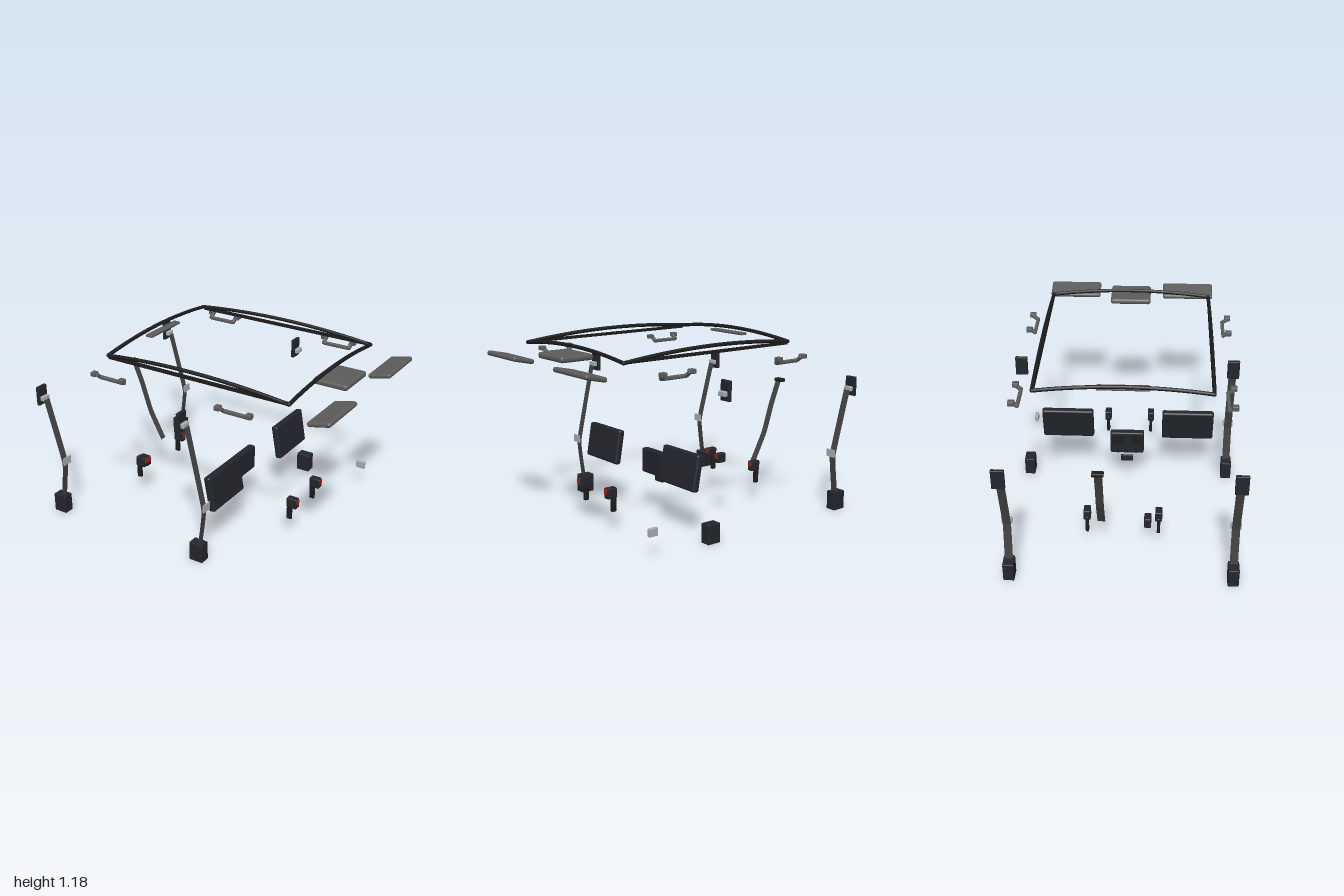
import * as THREE from 'three';
import { RoundedBoxGeometry } from 'three/addons/geometries/RoundedBoxGeometry.js';

const mat = (color, side = THREE.FrontSide) => new THREE.MeshStandardMaterial({ color, side });
const BLACK = mat(0x1c1c1c), DARK = mat(0x22252b), GREY = mat(0x5c5c5c),
  METAL = mat(0xa9acb0), RED = mat(0xa01c14), WEB = mat(0x424242, THREE.DoubleSide);

export function createModel() {
  const model = new THREE.Group();

  const add = (parent, name, geo, material, x = 0, y = 0, z = 0) => {
    const m = new THREE.Mesh(geo, material);
    m.name = name;
    m.position.set(x, y, z);
    parent.add(m);
    return m;
  };
  // Box given by its extents; r rounds the edges
  const block = (parent, name, material, [x0, x1], [y0, y1], [z0, z1], r = 0) => {
    const s = [x1 - x0, y1 - y0, z1 - z0];
    const geo = r ? new RoundedBoxGeometry(...s, 3, r) : new THREE.BoxGeometry(...s);
    return add(parent, name, geo, material, (x0 + x1) / 2, (y0 + y1) / 2, (z0 + z1) / 2);
  };
  const group = (name) => {
    const g = new THREE.Group();
    g.name = name;
    model.add(g);
    return g;
  };
  // Flat webbing following points in the xy plane, centred on z
  const webbing = (parent, pts, z, width) => {
    const curve = new THREE.CatmullRomCurve3(pts.map(([x, y]) => new THREE.Vector3(x, y, 0)), false, 'catmullrom', 0.15);
    const n = 24, geo = new THREE.PlaneGeometry(1, width, n, 1), p = geo.attributes.position;
    for (let i = 0; i < p.count; i++) {
      const q = curve.getPoint(p.getX(i) + 0.5);
      p.setXYZ(i, q.x, q.y, p.getY(i));
    }
    geo.computeVertexNormals();
    add(parent, 'webbing', geo, WEB, 0, 0, z);
  };

  // Roof trim frame: four shallow arches and two straight side bars
  const frame = group('roofFrame');
  const rail = (name, a, b, rise) => {
    const pts = [];
    for (let i = 0; i <= 12; i++) {
      const t = i / 12, v = new THREE.Vector3().lerpVectors(a, b, t);
      v.y += rise * 4 * t * (1 - t);
      pts.push(v);
    }
    add(frame, name, new THREE.TubeGeometry(new THREE.CatmullRomCurve3(pts), 24, 0.012, 8), BLACK);
  };
  const V = (x, y, z) => new THREE.Vector3(x, y, z);
  rail('rearArch', V(-0.55, 1.133, -0.527), V(-0.55, 1.133, 0.527), 0.037);
  rail('frontArch', V(0.722, 1.121, -0.527), V(0.722, 1.121, 0.527), 0.037);
  for (const z of [-0.527, 0.527]) {
    rail('sideArch', V(-0.55, 1.133, z), V(0.722, 1.121, z), 0.036);
    block(frame, 'sideBar', BLACK, [-0.54, 0.72], [1.115, 1.133], [z - 0.009, z + 0.009]);
    for (const [x, y] of [[-0.55, 1.133], [0.722, 1.121]])
      add(frame, 'cornerJoint', new THREE.SphereGeometry(0.012, 12, 8), BLACK, x, y, z);
  }
  block(model, 'rearRoofLamp', GREY, [-0.54, -0.49], [1.135, 1.152], [-0.157, 0.157], 0.006);

  // Grab handles: mounts outboard, arms sloping down and inward to the grip
  for (const s of [-1, 1]) for (const x of [-0.457, 0.438]) {
    const g = group('grabHandle');
    for (const e of [-1, 1]) {
      add(g, 'handleMount', new RoundedBoxGeometry(0.038, 0.028, 0.04, 2, 0.005), GREY, x + e * 0.104, 1.053, s * 0.652);
      const arm = add(g, 'handleArm', new RoundedBoxGeometry(0.024, 0.022, 0.055, 2, 0.006), GREY, x + e * 0.092, 1.037, s * 0.633);
      arm.rotation.x = -s * 0.65;
    }
    add(g, 'handleGrip', new RoundedBoxGeometry(0.19, 0.024, 0.022, 3, 0.008), GREY, x, 1.024, s * 0.619);
  }

  // Sun visors with dark panel underneath
  for (const s of [-1, 1]) {
    const g = group('sunVisor');
    g.position.set(0.925, 1.061, s * 0.391);
    g.rotation.z = 0.22;
    add(g, 'visorPad', new RoundedBoxGeometry(0.148, 0.031, 0.345, 4, 0.0145), GREY);
    add(g, 'visorPanel', new THREE.BoxGeometry(0.09, 0.004, 0.22), DARK, -0.01, -0.0145, 0);
  }

  // Overhead console
  const con = group('overheadConsole');
  block(con, 'consoleShell', GREY, [0.657, 0.883], [1.083, 1.121], [-0.135, 0.135], 0.016);
  for (const s of [-1, 1])
    block(con, 'consoleLamp', DARK, [0.7, 0.74], [1.071, 1.088], [s * 0.037 - 0.013, s * 0.037 + 0.013]);
  block(con, 'consolePanel', DARK, [0.77, 0.84], [1.08, 1.087], [-0.05, 0.05]);

  // Outer seat belts: dx shifts the row, dy lifts the upper anchor
  for (const s of [-1, 1]) for (const [name, dx, dy] of [['rearBelt', 0, 0], ['frontBelt', 1.087, 0.097]]) {
    const g = group(name), z = s * 0.681;
    const span = (w) => [z - w / 2, z + w / 2];
    block(g, 'anchorPlate', DARK, [-1 + dx, -0.977 + dx], [0.757 + dy, 0.883 + dy], span(0.078), 0.005);
    block(g, 'anchorGuide', METAL, [-0.977 + dx, -0.95 + dx], [0.788 + dy, 0.82 + dy], span(0.06), 0.006);
    block(g, 'retractor', DARK, [-0.928 + dx, -0.834 + dx], [0.002, 0.126], span(0.068), 0.005);
    // The right-hand front belt has only its hardware
    if (dx && s < 0) continue;
    webbing(g, [[-0.952 + dx, 0.803 + dy], [-0.838 + dx, 0.375], [-0.867 + dx, 0.12]], z, 0.05);
    block(g, 'latchPlate', METAL, [-0.823 + dx, -0.815 + dx], [0.366, 0.416], span(0.068));
  }

  // Rear centre belt
  const mid = group('centreBelt');
  block(mid, 'beltOutlet', BLACK, [-0.902, -0.862], [0.781, 0.804], [-0.165, -0.095], 0.006);
  webbing(mid, [[-0.868, 0.79], [-0.808, 0.64], [-0.742, 0.44], [-0.642, 0.25]], -0.13, 0.048);

  // Buckles with red release button facing forward
  const buckle = (x, y, z, stem) => {
    const g = group('buckle');
    g.position.set(x, y, z);
    add(g, 'buckleHead', new RoundedBoxGeometry(0.07, 0.068, 0.044, 2, 0.007), DARK);
    add(g, 'releaseButton', new RoundedBoxGeometry(0.014, 0.034, 0.03, 2, 0.004), RED, 0.033, 0.012, 0);
    if (stem) add(g, 'buckleStem', new RoundedBoxGeometry(0.034, 0.115, 0.021, 2, 0.006), BLACK, -0.021, -0.067, 0);
  };
  for (const s of [-1, 1]) {
    buckle(-0.563, 0.253, s * 0.223, true);
    buckle(0.565, 0.253, s * 0.152, true);
  }
  buckle(-0.59, 0.223, 0.155, false);

  // Seat-back screens, leaning rearward at the top
  for (const s of [-1, 1]) {
    const g = group('seatScreen');
    g.position.set(0.218, 0.406, s * 0.406);
    g.rotation.z = 0.17;
    add(g, 'screenBody', new RoundedBoxGeometry(0.046, 0.23, 0.346, 4, 0.014), DARK);
  }

  // Centre control unit with vents and knobs on its rear face
  const unit = group('controlUnit');
  block(unit, 'unitBody', DARK, [0.08, 0.13], [0.256, 0.418], [-0.112, 0.112], 0.01);
  for (const s of [-1, 1]) for (let i = 0; i < 4; i++) {
    const y = 0.391 - i * 0.018, z = s * 0.063;
    block(unit, 'vent', BLACK, [0.064, 0.084], [y - 0.004, y + 0.004], [z - 0.037, z + 0.037]);
  }
  for (const z of [-0.06, 0, 0.06]) {
    const knob = add(unit, 'knob', new THREE.CylinderGeometry(0.01, 0.01, 0.02, 16), BLACK, 0.073, 0.28, z);
    knob.rotation.z = Math.PI / 2;
  }
  block(unit, 'socketPanel', DARK, [0.064, 0.08], [0.202, 0.246], [-0.04, 0.04], 0.004);

  // Small grey floor bracket
  block(model, 'floorBracket', METAL, [0.61, 0.672], [0.137, 0.187], [-0.695, -0.671], 0.005);

  return model;
}
